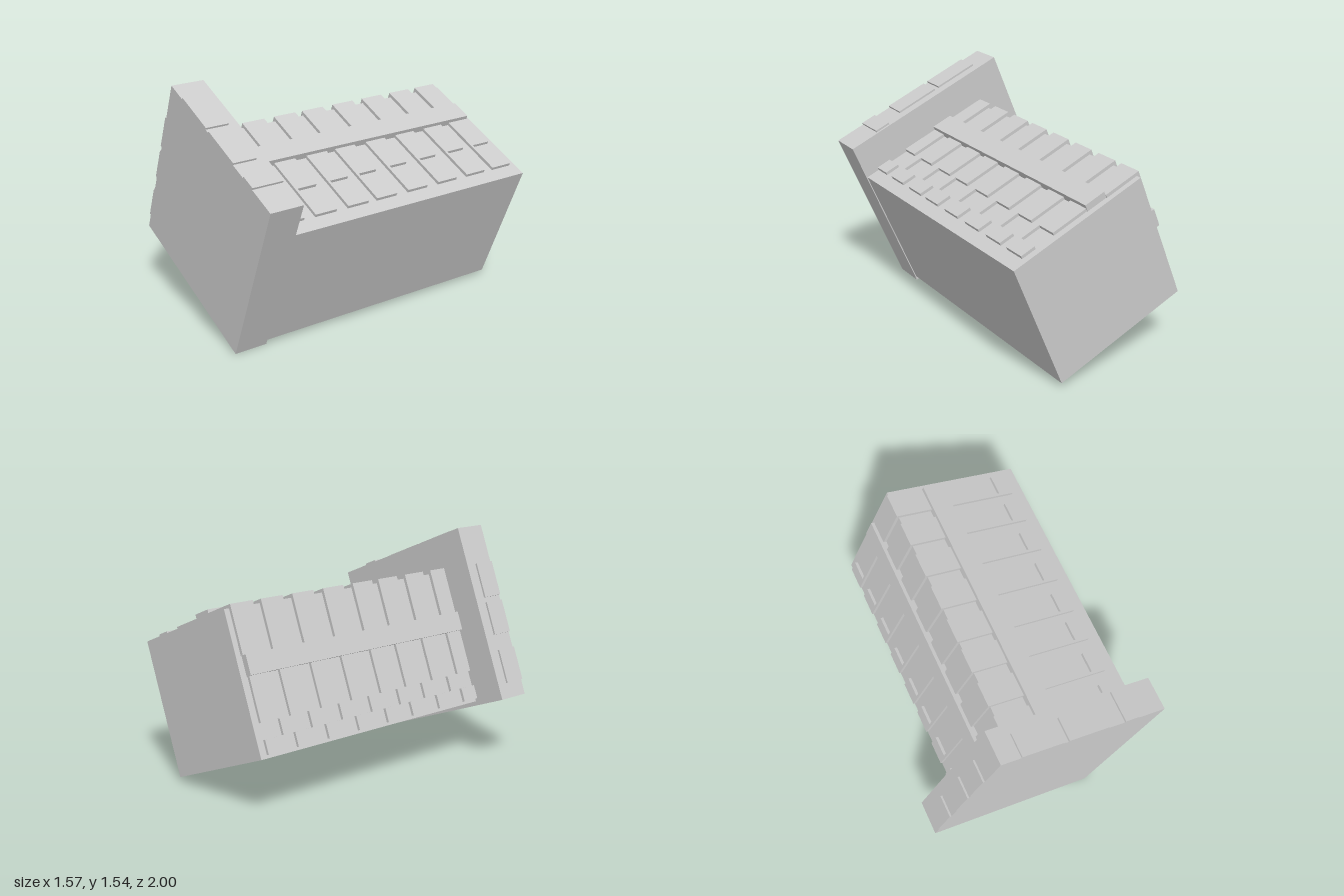
import * as THREE from 'three';

const material = new THREE.MeshStandardMaterial({ color: 0xcccccc, flatShading: true });

function addMesh(parent, name, geometry) {
  const mesh = new THREE.Mesh(geometry, material);
  mesh.name = name;
  parent.add(mesh);
  return mesh;
}

// Box given by its limits on each axis
function addBlock(parent, name, [x0, x1], [y0, y1], [z0, z1]) {
  const mesh = addMesh(parent, name, new THREE.BoxGeometry(x1 - x0, y1 - y0, z1 - z0));
  mesh.position.set((x0 + x1) / 2, (y0 + y1) / 2, (z0 + z1) / 2);
}

const extrude = (points, depth) => new THREE.ExtrudeGeometry(
  new THREE.Shape(points.map(([x, y]) => new THREE.Vector2(x, y))), { depth, bevelEnabled: false });

// A face starting at the upper left edge: x runs along it, y points out of it
function addFace(parent, name, x, y, side) {
  const face = new THREE.Group();
  face.name = name;
  face.position.set(x, y, 0);
  if (side) face.rotation.z = Math.PI / 2;
  parent.add(face);
  const dir = side ? -1 : 1;
  const plate = (label, points, thickness) => {
    const geometry = extrude(points.map(([s, z]) => [dir * s, -z]), thickness);
    addMesh(face, label, geometry.rotateX(-Math.PI / 2));
  };
  const rect = (label, s0, s1, z0, z1, thickness) =>
    plate(label, [[s0, z0], [s1, z0], [s1, z1], [s0, z1]], thickness);
  return { plate, rect };
}

export function createModel() {
  const model = new THREE.Group();
  model.name = 'tiltedBlock';
  const tilt = new THREE.Group();
  tilt.name = 'tiltedAssembly';
  tilt.rotation.z = -Math.PI / 8;
  tilt.position.y = 0.7725;
  model.add(tilt);

  // Main masses
  const left = -0.365, top = 0.344;
  addBlock(tilt, 'frontBlock', [-0.606, 0.606], [-0.584, 0.584], [0.78, 1]);
  addBlock(tilt, 'body', [left, 0.599], [-0.555, top], [-1, 0.78]);

  // Raised ribs on the two upper faces of the body
  const faces = [
    { ...addFace(tilt, 'bodyTop', left, top, false), rail: [0.236, 0.382], gap: [0.635, 0.77], end: 0.87 },
    { ...addFace(tilt, 'bodySide', left, top, true), rail: [0.285, 0.41], gap: [0.69, 0.79], end: 0.88 },
  ];
  for (const { rect, rail } of faces) rect('rail', rail[0], rail[1], -0.96, 0.78, 0.045);

  const t = 0.022;
  for (const z0 of [-0.965, -0.745, -0.51, -0.27, -0.03, 0.185, 0.42, 0.65]) {
    const z1 = Math.min(z0 + 0.162, 0.79);
    // Cap wrapped around the upper corner
    const cap = addMesh(tilt, 'cornerCap', extrude(
      [[-t, -0.285], [0, -0.285], [0, 0], [0.236, 0], [0.236, t], [-t, t]], z1 - z0));
    cap.position.set(left, top, z0);
    // Notched plate beyond each rail
    for (const { plate, rail, gap, end } of faces) {
      const back = z0 + 0.01, notch = z0 + 0.145;
      const points = z0 + 0.162 > 0.79
        ? [[rail[1], back], [gap[0], back], [gap[0], z1], [rail[1], z1]]
        : [[rail[1], back], [gap[0], back], [gap[0], notch], [gap[1], notch],
          [gap[1], back], [end, back], [end, z1], [rail[1], z1]];
      plate('notchedPlate', points, 0.02);
      if (points.length === 4) {
        plate('endPlate', [[gap[1], back], [end, back], [end, z1], [gap[1], z1]], 0.02);
      }
    }
  }

  // Thin plates on the front block
  const frontTop = addFace(tilt, 'frontBlockTop', -0.606, 0.584, false);
  for (const [s0, s1, z0] of [[0.143, 0.446, 0.845], [0.478, 0.78, 0.845], [0.9, 1.005, 0.795]]) {
    frontTop.rect('topPlate', s0, s1, z0, 1, 0.013);
  }
  const frontSide = addFace(tilt, 'frontBlockSide', -0.606, 0.584, true);
  for (const [s0, s1] of [[0.255, 0.485], [0.52, 0.74], [0.845, 1.07]]) {
    frontSide.rect('sidePlate', s0, s1, 0.855, 1, 0.013);
  }
  return model;
}
